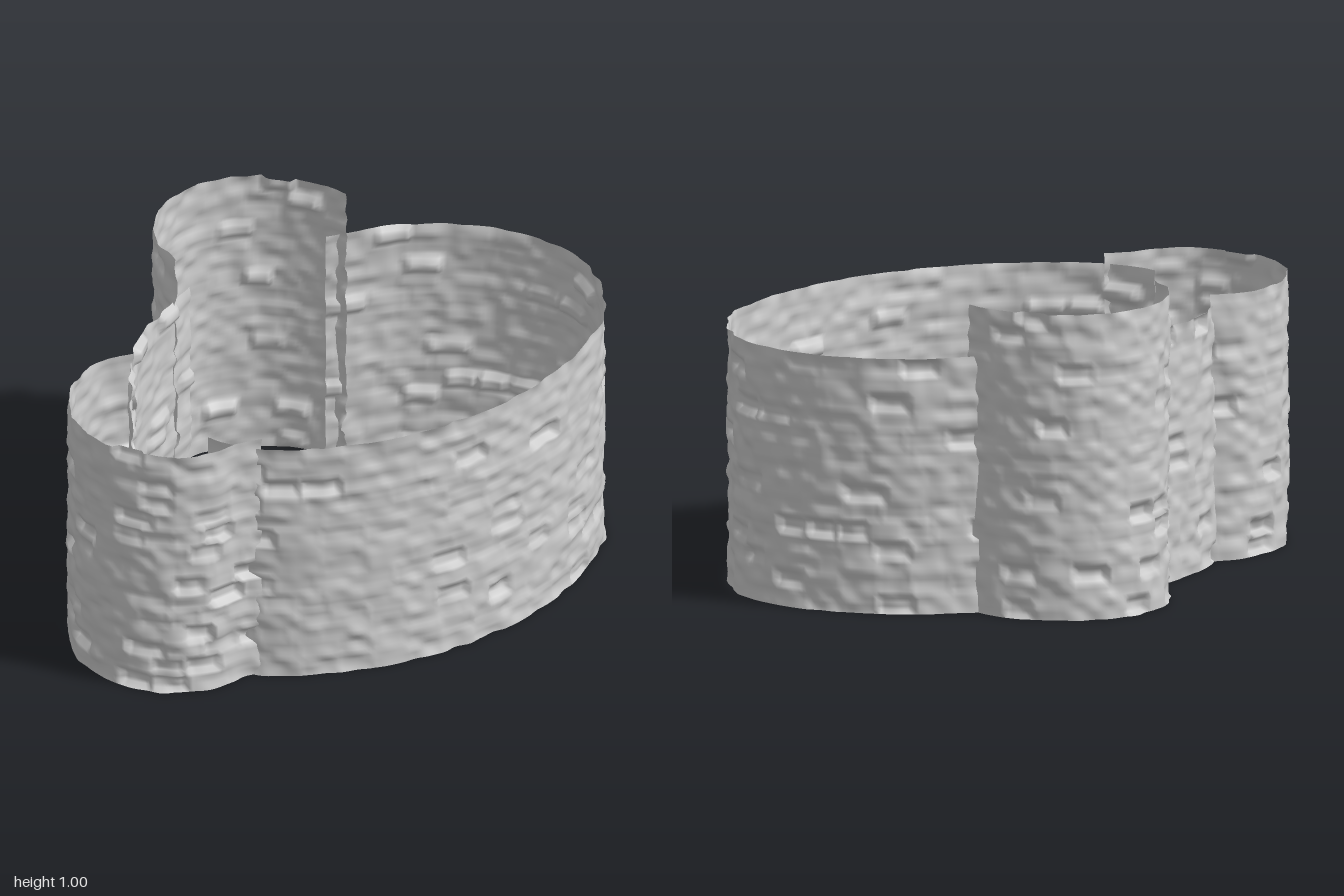
import * as THREE from 'three';

const STEP = 0.0125;   // grid spacing along and up the walls
const ROW = 0.06;      // height of a stone course

// Repeatable value in 0..1 for a pair of integers
function hash(i, j, seed) {
  let h = Math.imul(i + 101, 374761393) ^ Math.imul(j + 57, 668265263) ^ Math.imul(seed + 7, 974634777);
  h = Math.imul(h ^ (h >>> 13), 1274126177);
  return ((h ^ (h >>> 16)) >>> 0) / 4294967296;
}

const smooth = t => t * t * (3 - 2 * t);

// Smooth value noise
function noise(x, y, seed) {
  const i = Math.floor(x), j = Math.floor(y);
  const u = smooth(x - i), v = smooth(y - j);
  const a = hash(i, j, seed) * (1 - u) + hash(i + 1, j, seed) * u;
  const b = hash(i, j + 1, seed) * (1 - u) + hash(i + 1, j + 1, seed) * u;
  return a * (1 - v) + b * v;
}

// How far the stone face stands out at distance s along the wall and height y
function relief(s, y, seed) {
  const row = Math.floor(y / ROW);
  const width = 0.1 + 0.05 * hash(row, 3, seed);
  const along = s / width + hash(row, 9, seed);
  const col = Math.floor(along);
  const du = Math.min(along - col, 1 - along + col) * width;
  const fy = y / ROW - row;
  const dv = Math.min(fy, 1 - fy) * ROW;
  const edge = smooth(Math.min(1, Math.max(0, Math.min(du, dv) / 0.012)));
  const pick = hash(col, row, seed + 20);
  const proud = pick > 0.84 ? 0.012 + 0.09 * (pick - 0.84) : 0.006 * pick;
  const rough = (noise(s / 0.05, y / 0.035, seed + 40) - 0.5) * 0.014;
  return edge * proud + rough - 0.002;
}

// A standing stone sheet that follows a plan curve, given as [x, z] points
function stoneWall(name, plan, height, seed) {
  const curve = new THREE.CatmullRomCurve3(plan.map(([x, z]) => new THREE.Vector3(x, 0, z)), false, 'centripetal');
  curve.arcLengthDivisions = 600;
  const length = curve.getLength();
  const cols = Math.round(length / STEP), rows = Math.round(height / STEP);
  const positions = [], index = [];
  for (let i = 0; i <= cols; i++) {
    const p = curve.getPointAt(i / cols), t = curve.getTangentAt(i / cols);
    for (let j = 0; j <= rows; j++) {
      const y = height * j / rows;
      const d = relief(length * i / cols, y, seed);
      positions.push(p.x - t.z * d, y, p.z + t.x * d);
      if (i < cols && j < rows) {
        const a = i * (rows + 1) + j, b = a + rows + 1;
        index.push(a, b, b + 1, a, b + 1, a + 1);
      }
    }
  }
  const geometry = new THREE.BufferGeometry();
  geometry.setAttribute('position', new THREE.Float32BufferAttribute(positions, 3));
  geometry.setIndex(index);
  geometry.computeVertexNormals();
  const mesh = new THREE.Mesh(geometry, new THREE.MeshStandardMaterial({
    color: 0xcccccc, roughness: 0.9, side: THREE.DoubleSide }));
  mesh.name = name;
  return mesh;
}

export function createModel() {
  const model = new THREE.Group();
  model.name = 'castleWalls';

  // Plans run so that the outer face lies on the right-hand side of travel:
  // the outward direction is (-tangent.z, tangent.x).
  const mainPlan = [
    [0.33, 0.65], [0.48, 0.565], [0.57, 0.46], [0.645, 0.31], [0.705, 0.11], [0.733, -0.1], [0.71, -0.35],
    [0.63, -0.6], [0.49, -0.82], [0.31, -0.94], [0.13, -0.985], [-0.03, -0.95], [-0.2, -0.845],
    [-0.35, -0.67], [-0.45, -0.42]];
  const shortPlan = [[-0.455, 0.12], [-0.4, 0.24], [-0.32, 0.41], [-0.2, 0.555], [-0.07, 0.65]];
  const sideTowerPlan = [
    [-0.4, -0.465], [-0.5, -0.435], [-0.61, -0.365], [-0.695, -0.255], [-0.735, -0.115],
    [-0.705, 0.03], [-0.62, 0.14], [-0.52, 0.2], [-0.4, 0.22]];
  const frontTowerPlan = [
    [-0.19, 0.55], [-0.21, 0.63], [-0.195, 0.73], [-0.13, 0.85], [-0.01, 0.94], [0.13, 0.973],
    [0.28, 0.945], [0.4, 0.86], [0.465, 0.73], [0.465, 0.63], [0.485, 0.55]];

  const outward = plan => plan.slice().reverse();
  model.add(
    stoneWall('mainWall', outward(mainPlan), 0.84, 1),
    stoneWall('shortWall', outward(shortPlan), 0.84, 2),
    stoneWall('sideTower', outward(sideTowerPlan), 1.005, 3),
    stoneWall('frontTower', outward(frontTowerPlan), 0.875, 4));
  return model;
}
